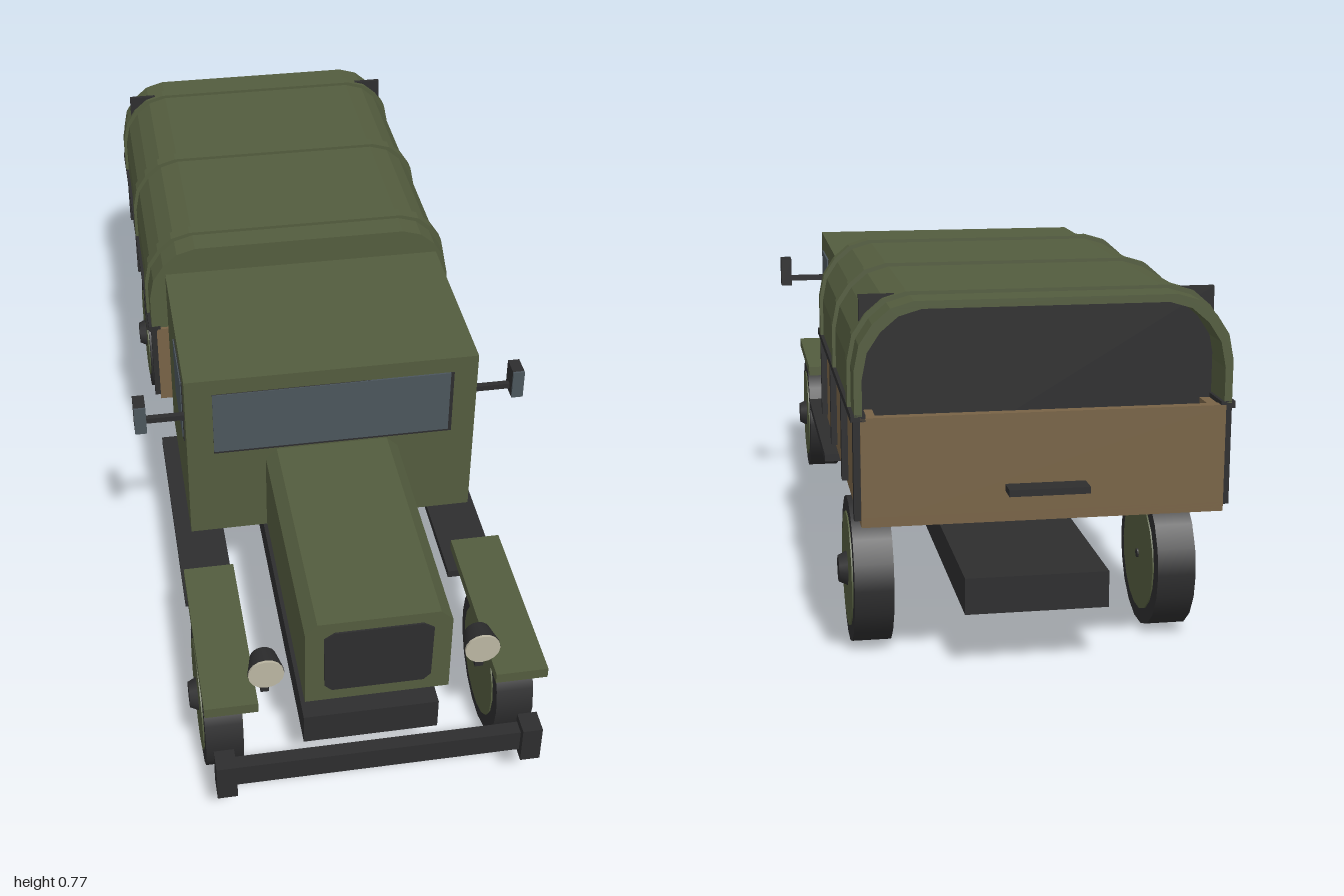
import * as THREE from 'three';

const mat = (name, color) => {
  const m = new THREE.MeshStandardMaterial({ color });
  m.name = name;
  return m;
};

export function createModel() {
  const green = mat('olive paint', 0x535c3e);
  const dark = mat('dark metal', 0x2d2d2e);
  const wood = mat('wood planks', 0x786346);
  const glass = mat('window glass', 0x4b555c);
  const cream = mat('lamp lens', 0xbbb6a2);

  const truck = new THREE.Group();
  truck.name = 'truck';

  const add = (name, geo, material, parent = truck) => {
    const m = new THREE.Mesh(geo, material);
    m.name = name;
    parent.add(m);
    return m;
  };
  // box from its min and max on each axis
  const box = (name, material, x0, x1, y0, y1, z0, z1, parent = truck) => {
    const m = add(name, new THREE.BoxGeometry(x1 - x0, y1 - y0, z1 - z0), material, parent);
    m.position.set((x0 + x1) / 2, (y0 + y1) / 2, (z0 + z1) / 2);
    return m;
  };
  // box on the +x side plus its mirror image
  const pair = (name, material, x0, x1, y0, y1, z0, z1) => {
    box(name + 'Left', material, x0, x1, y0, y1, z0, z1);
    box(name + 'Right', material, -x1, -x0, y0, y1, z0, z1);
  };
  // closed outline pushed along z
  const extrude = (name, material, pts, z0, z1) => {
    const shape = new THREE.Shape(pts.map(([x, y]) => new THREE.Vector2(x, y)));
    const geo = new THREE.ExtrudeGeometry(shape, { depth: z1 - z0, bevelEnabled: false });
    geo.translate(0, 0, z0);
    return add(name, geo, material);
  };

  // chassis
  box('chassis', dark, -0.145, 0.145, 0.13, 0.205, -0.89, 0.89);
  box('bumper', dark, -0.34, 0.34, 0.135, 0.187, 0.955, 0.985);
  pair('bumperEnd', dark, 0.3, 0.342, 0.117, 0.205, 0.95, 1.0);
  pair('runningBoard', dark, 0.245, 0.358, 0.221, 0.239, -0.05, 0.54);
  const pipe = add('exhaustPipe', new THREE.CylinderGeometry(0.011, 0.011, 0.4, 8), dark);
  pipe.rotation.x = Math.PI / 2;
  pipe.position.set(-0.265, 0.193, -0.1);

  // wheels
  const wheel = (side, z, name) => {
    const g = new THREE.Group();
    g.name = name;
    const disc = (part, material, r0, r1, x0, x1, seg) => {
      const geo = new THREE.CylinderGeometry(r1, r0, x1 - x0, seg);
      geo.rotateZ(-Math.PI / 2);
      geo.translate((x0 + x1) / 2, 0, 0);
      add(part, geo, material, g);
    };
    disc('tire', dark, 0.153, 0.153, -0.04, 0.04, 18);
    disc('rim', green, 0.12, 0.12, -0.043, 0.043, 18);
    disc('hub', dark, 0.037, 0.028, 0.042, 0.061, 12);
    disc('axleEnd', dark, 0.01, 0.01, -0.046, -0.042, 8);
    g.position.set(side * 0.313, 0.153, z);
    if (side < 0) g.rotation.y = Math.PI;
    truck.add(g);
  };
  for (const [side, label] of [[1, 'Left'], [-1, 'Right']]) {
    wheel(side, 0.74, 'frontWheel' + label);
    wheel(side, -0.64, 'rearWheel' + label);
  }

  // cab and windows
  box('cab', green, -0.325, 0.325, 0.3, 0.725, -0.05, 0.38);
  box('windshieldFrame', dark, -0.265, 0.272, 0.525, 0.687, 0.378, 0.382);
  box('windshield', glass, -0.265, 0.264, 0.531, 0.687, 0.379, 0.384);
  pair('sideWindowFrame', dark, 0.323, 0.327, 0.528, 0.685, 0.155, 0.33);
  pair('sideWindow', glass, 0.324, 0.329, 0.535, 0.685, 0.155, 0.325);

  // mirrors
  pair('mirrorArm', dark, 0.32, 0.412, 0.605, 0.618, 0.34, 0.353);
  pair('mirror', dark, 0.409, 0.435, 0.595, 0.663, 0.325, 0.37);
  pair('mirrorGlass', glass, 0.409, 0.435, 0.595, 0.663, 0.37, 0.375);

  // hood, grille and fenders
  extrude('hood', green, [
    [-0.15, 0.305], [0.15, 0.305], [0.15, 0.495], [0.125, 0.52], [-0.125, 0.52], [-0.15, 0.495],
  ], 0.38, 0.935);
  extrude('grille', dark, [
    [-0.095, 0.335], [0.095, 0.335], [0.11, 0.35], [0.112, 0.48], [0.09, 0.495],
    [-0.09, 0.495], [-0.112, 0.48], [-0.11, 0.35],
  ], 0.932, 0.939);
  pair('fender', green, 0.247, 0.357, 0.307, 0.331, 0.535, 0.948);

  // headlights
  for (const s of [1, -1]) {
    const lampGeo = new THREE.CylinderGeometry(0.038, 0.027, 0.047, 16);
    const lamp = add('headlight', lampGeo, dark);
    lamp.rotation.x = Math.PI / 2;
    lamp.position.set(s * 0.225, 0.37, 0.881);
    const lens = add('headlightLens', new THREE.CylinderGeometry(0.037, 0.037, 0.006, 16), cream);
    lens.rotation.x = Math.PI / 2;
    lens.position.set(s * 0.225, 0.37, 0.907);
  }
  pair('headlightStand', dark, 0.217, 0.235, 0.3, 0.345, 0.87, 0.89);

  // cargo bed
  box('bedFloor', wood, -0.35, 0.35, 0.34, 0.36, -0.955, -0.08);
  pair('bedSide', wood, 0.322, 0.352, 0.34, 0.55, -0.94, -0.08);
  box('bedFront', wood, -0.322, 0.322, 0.36, 0.55, -0.105, -0.08);
  box('tailgate', wood, -0.352, 0.352, 0.34, 0.552, -0.955, -0.935);
  pair('bedRail', dark, 0.342, 0.37, 0.545, 0.559, -0.955, -0.08);
  for (const z of [-0.093, -0.377, -0.66, -0.938]) {
    pair('stake', dark, 0.35, 0.365, 0.352, 0.55, z - 0.011, z + 0.011);
  }
  box('tailgateHandle', dark, -0.078, 0.078, 0.401, 0.414, -1.0, -0.95);

  // canvas cover, open at the rear
  const half = [[0.363, 0.555], [0.363, 0.64], [0.353, 0.69], [0.328, 0.728], [0.294, 0.757], [0.25, 0.77]];
  const arch = (grow) => {
    const right = half.map(([x, y], i) => [x + grow, y + (i ? grow : 0)]);
    return [...right, ...right.slice().reverse().map(([x, y]) => [-x, y])];
  };
  const band = (outer, inner) => [...arch(outer), ...arch(inner).reverse()];
  extrude('canvasCover', green, band(0, -0.015), -0.955, -0.08);
  extrude('canvasFront', green, arch(-0.01), -0.095, -0.081);
  for (const z of [-0.157, -0.517, -0.873]) {
    extrude('canvasHoop', green, band(0.007, -0.005), z - 0.015, z + 0.015);
  }
  box('rearCurtain', dark, -0.345, 0.345, 0.36, 0.771, -0.878, -0.868);

  return truck;
}
